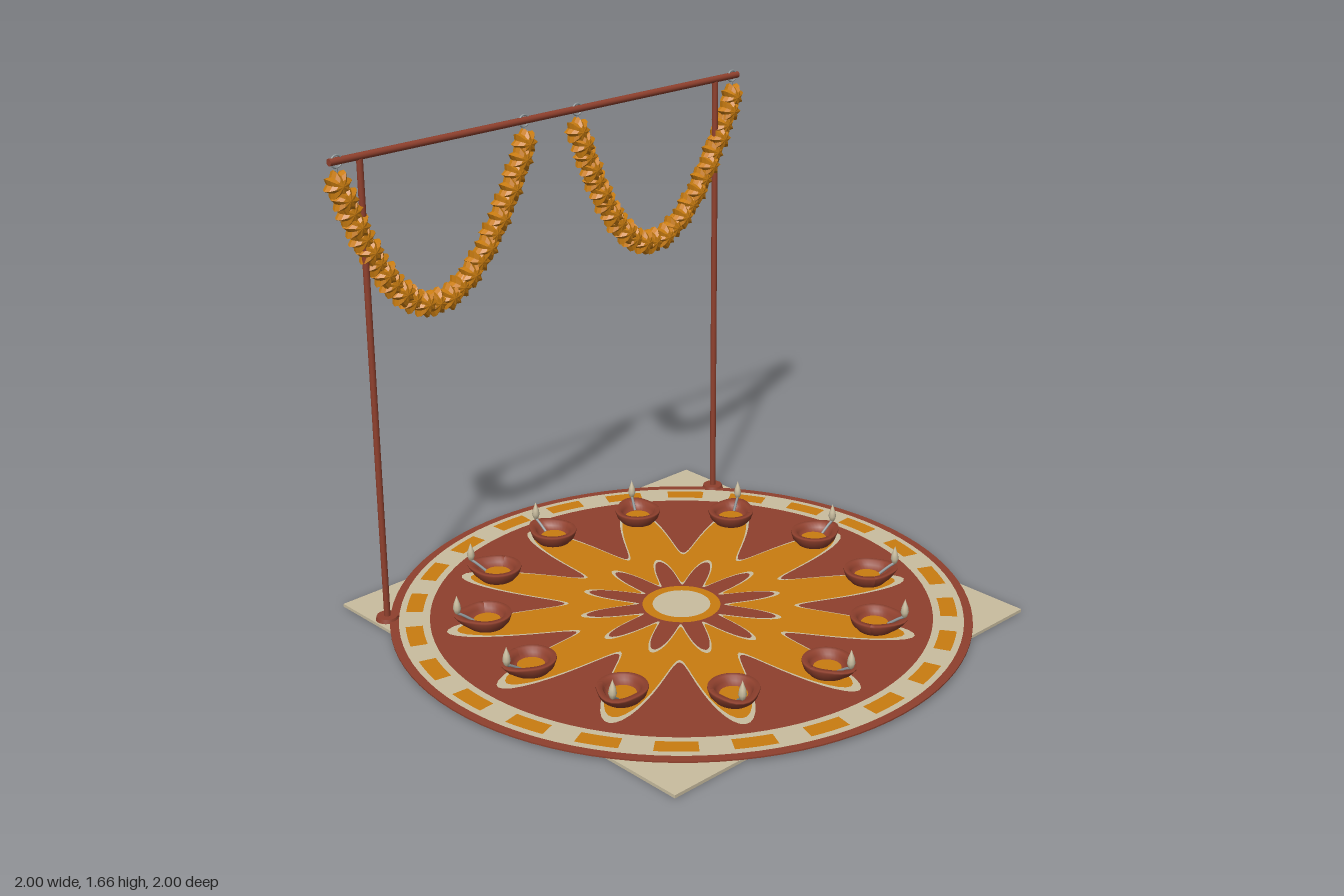
import * as THREE from 'three';

export function createModel() {
  const root = new THREE.Group();
  const mat = (name, color, flatShading = false) =>
    Object.assign(new THREE.MeshStandardMaterial({ color, flatShading }), { name });
  const rust = mat('rust', 0x8f402d);
  const orange = mat('marigold orange', 0xc97c10);
  const cream = mat('cream', 0xc9bd9f);
  const steel = mat('steel', 0x8f979a);
  rust.side = THREE.DoubleSide;
  const petalMat = orange;

  const add = (parent, name, geo, material, x = 0, y = 0, z = 0) => {
    const m = new THREE.Mesh(geo, material);
    m.name = name;
    m.position.set(x, y, z);
    parent.add(m);
    return m;
  };

  // Ground: square mat and round floor plate
  add(root, 'squareMat', new THREE.BoxGeometry(1.66, 0.011, 1.66), cream, 0, 0.0055, 0);
  add(root, 'floorDisc', new THREE.CylinderGeometry(1, 1, 0.005, 96), rust, 0, 0.0135, 0);

  // Flat floor pattern, each layer slightly above the last
  const pattern = new THREE.Group();
  pattern.name = 'floorPattern';
  root.add(pattern);
  let level = 0.016;
  const layer = (name, geo, material) =>
    add(pattern, name, geo.rotateX(-Math.PI / 2), material, 0, (level += 0.0008), 0);
  const star = (mid, amp) => {
    const pts = [];
    for (let i = 0; i < 288; i++) {
      const a = (i / 288) * Math.PI * 2;
      const r = mid + amp * Math.cos(12 * a);
      pts.push(new THREE.Vector2(r * Math.cos(a), r * Math.sin(a)));
    }
    return new THREE.ShapeGeometry(new THREE.Shape(pts));
  };
  layer('borderBand', new THREE.RingGeometry(0.865, 0.97, 96), cream);
  level += 0.0008;
  for (let i = 0; i < 24; i++) {
    const dash = new THREE.RingGeometry(0.89, 0.948, 4, 1, (i * Math.PI) / 12 - 0.074, 0.148);
    add(pattern, 'borderDash', dash.rotateX(-Math.PI / 2), orange, 0, level, 0);
  }
  layer('outerStarEdge', star(0.61, 0.205), cream);
  layer('outerStar', star(0.585, 0.195), orange);
  layer('innerStarEdge', star(0.26, 0.095), cream);
  layer('innerStar', star(0.241, 0.094), rust);
  layer('centreRing', new THREE.CircleGeometry(0.135, 48), orange);
  layer('centreDisc', new THREE.CircleGeometry(0.1, 48), cream);

  // Oil lamp bowl: a lathe pulled out into a spout along +x
  const spout = (geo) => {
    const p = geo.attributes.position;
    for (let i = 0; i < p.count; i++) {
      const x = p.getX(i), z = p.getZ(i), r = Math.hypot(x, z);
      if (r < 1e-5) continue;
      const lift = THREE.MathUtils.clamp((p.getY(i) - 0.02) / 0.055, 0, 1);
      const k = 1 + 0.34 * lift * Math.pow(Math.max(0, x / r), 6);
      p.setX(i, x * k);
      p.setZ(i, z * k);
    }
    geo.computeVertexNormals();
    return geo;
  };
  const bowlGeo = spout(new THREE.LatheGeometry([
    [0, 0.02], [0.038, 0.02], [0.06, 0.03], [0.077, 0.049], [0.084, 0.07], [0.083, 0.076],
    [0.066, 0.076], [0.06, 0.06], [0.05, 0.045], [0, 0.04],
  ].map(([x, y]) => new THREE.Vector2(x, y)), 32));
  const oilGeo = new THREE.CircleGeometry(0.046, 24).rotateX(-Math.PI / 2);
  const flameGeo = new THREE.LatheGeometry([
    [0, 0], [0.009, 0.008], [0.014, 0.024], [0.011, 0.042], [0.005, 0.058], [0, 0.072],
  ].map(([x, y]) => new THREE.Vector2(x, y)), 10);
  const wickGeo = new THREE.TubeGeometry(new THREE.CatmullRomCurve3([
    new THREE.Vector3(0.045, 0.05, 0), new THREE.Vector3(0.08, 0.074, 0), new THREE.Vector3(0.1, 0.085, 0),
  ]), 6, 0.005, 6);

  // Ring of twelve lamps with spouts facing outward
  for (let i = 0; i < 12; i++) {
    const a = (i * Math.PI) / 6;
    const lamp = new THREE.Group();
    lamp.name = 'oilLamp';
    lamp.position.set(0.677 * Math.cos(a), 0, -0.677 * Math.sin(a));
    lamp.rotation.y = a;
    root.add(lamp);
    add(lamp, 'bowl', bowlGeo, rust);
    add(lamp, 'oil', oilGeo, orange, 0, 0.05, 0);
    add(lamp, 'wick', wickGeo, steel);
    add(lamp, 'flame', flameGeo, cream, 0.1, 0.079, 0);
  }

  // Frame: two posts with feet and a crossbar
  const frameZ = -0.635;
  for (const s of [-1, 1]) {
    add(root, 'post', new THREE.CylinderGeometry(0.011, 0.011, 1.62, 16), rust, s * 0.785, 0.82, frameZ);
    add(root, 'postFoot', new THREE.CylinderGeometry(0.036, 0.04, 0.014, 24), rust, s * 0.785, 0.018, frameZ);
  }
  add(root, 'crossbar', new THREE.CylinderGeometry(0.012, 0.012, 1.8, 16).rotateZ(Math.PI / 2), rust, 0, 1.637, frameZ);

  // Marigold head: flattened ball with pointed petals, facing z
  const flowerGeo = new THREE.SphereGeometry(1, 16, 6).rotateX(Math.PI / 2);
  const fp = flowerGeo.attributes.position;
  for (let i = 0; i < fp.count; i++) {
    const a = Math.atan2(fp.getY(i), fp.getX(i));
    const k = 0.05 * (0.88 + 0.16 * Math.cos(8 * a));
    fp.setXYZ(i, fp.getX(i) * k, fp.getY(i) * k, fp.getZ(i) * 0.034);
  }
  const flowerFlat = flowerGeo.toNonIndexed();
  flowerFlat.computeVertexNormals();

  // Two hanging garlands, mirrored, with hooks at both ends
  for (const s of [-1, 1]) {
    const garland = new THREE.Group();
    garland.name = 'garland';
    root.add(garland);
    const pts = [];
    for (let i = 0; i <= 20; i++) {
      const t = i / 10 - 1;
      const sag = 1 - t * t;
      pts.push(new THREE.Vector3(s * (0.495 + 0.377 * t), 1.56 - 0.48 * sag, frameZ + 0.003 - 0.03 * sag));
    }
    const curve = new THREE.CatmullRomCurve3(pts);
    const count = 25;
    for (let i = 0; i < count; i++) {
      const p = curve.getPointAt(i / (count - 1));
      const f = add(garland, 'marigold', flowerFlat, petalMat, p.x, p.y, p.z + (i % 2 ? 0.004 : -0.004));
      f.rotation.z = i * 0.37;
    }
    add(garland, 'thread', new THREE.TubeGeometry(curve, 40, 0.006, 6), orange);
    for (const x of [0.118, 0.872]) {
      add(garland, 'hookRing', new THREE.TorusGeometry(0.02, 0.0035, 8, 24), steel, s * x, 1.636, frameZ);
      add(garland, 'hookStem', new THREE.CylinderGeometry(0.0035, 0.0035, 0.05, 8), steel, s * x, 1.592, frameZ);
    }
  }
  return root;
}
